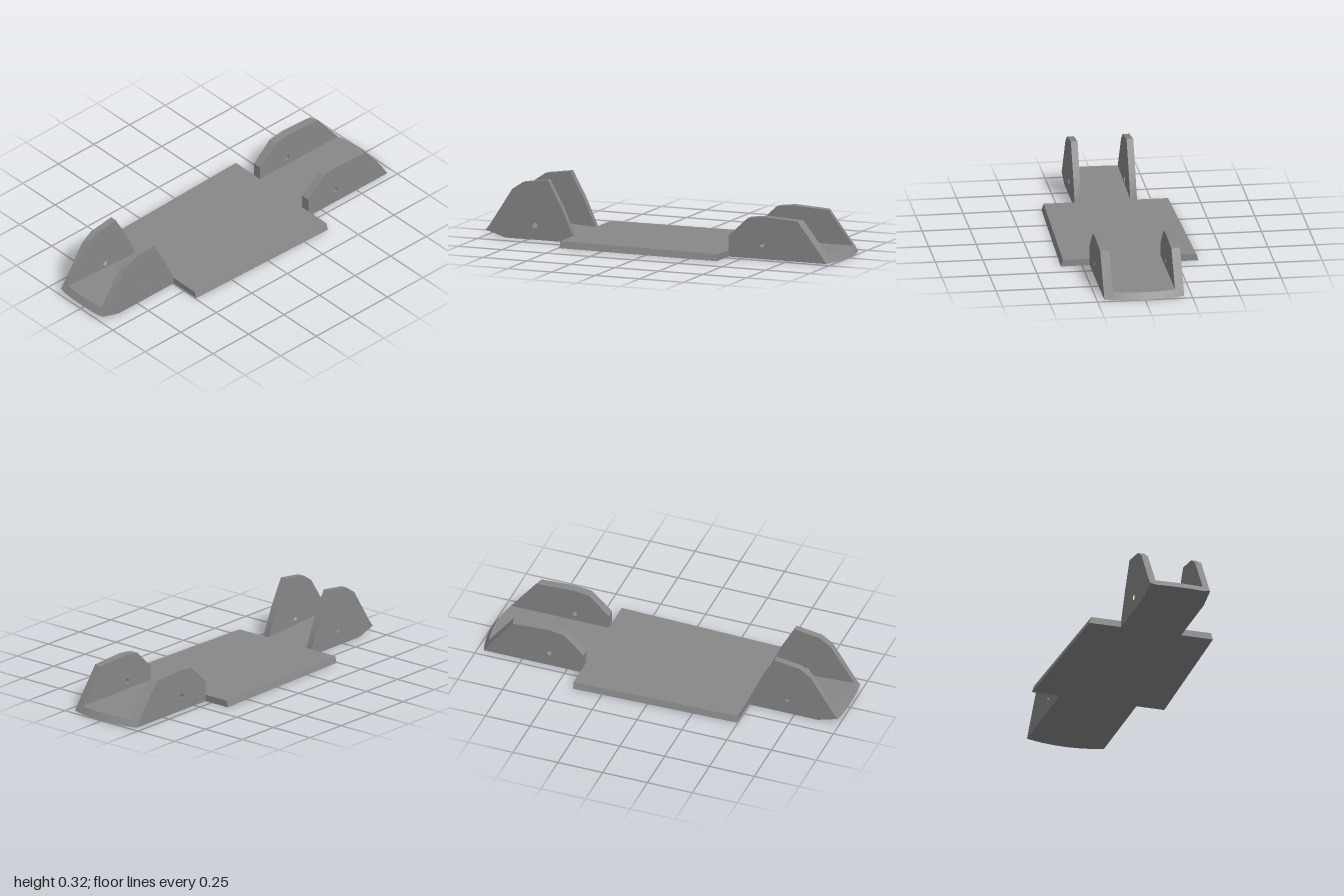
import * as THREE from 'three';
import { toCreasedNormals } from 'three/addons/utils/BufferGeometryUtils.js';

const FRONT = 0.495, BACK = -0.41, THICK = 0.035, CREASE = 0.5;
const material = new THREE.MeshStandardMaterial({ color: 0x888888 });

// Bow the nose and tail ends: the middle reaches further out than the sides.
function bowEnds(geometry) {
  const p = geometry.attributes.position;
  for (let i = 0; i < p.count; i++) {
    const x = p.getX(i), z = p.getZ(i);
    if (z > 0.9) {
      p.setZ(i, z - 0.009 * (x / 0.164) ** 2);
      if (z > 0.99 && Math.abs(x) > 0.14) p.setY(i, p.getY(i) + 0.007);
    } else if (z < -0.82) {
      p.setZ(i, z + 0.035 * (x / 0.21) ** 2);
    }
  }
  return toCreasedNormals(geometry, CREASE);
}

// Extrude a side profile of [z, y] points from x0 to x1, with an optional round hole.
function sideExtrude(name, profile, x0, x1, steps, hole) {
  const shape = new THREE.Shape(profile.map(([z, y]) => new THREE.Vector2(-z, y)));
  if (hole) {
    const path = new THREE.Path();
    path.absarc(-hole[0], hole[1], 0.014, 0, Math.PI * 2, true);
    shape.holes.push(path);
  }
  const geometry = new THREE.ExtrudeGeometry(shape, {
    depth: x1 - x0, steps, bevelEnabled: false, curveSegments: 12,
  });
  geometry.rotateY(Math.PI / 2).translate(x0, 0, 0);
  const mesh = new THREE.Mesh(bowEnds(geometry), material);
  mesh.name = name;
  return mesh;
}

// Wide middle plate: tapers towards the front, sides lean inwards
function basePlate() {
  const geometry = new THREE.BoxGeometry(2, THICK, FRONT - BACK);
  geometry.translate(0, THICK / 2, (FRONT + BACK) / 2);
  const p = geometry.attributes.position;
  for (let i = 0; i < p.count; i++) {
    const half = (p.getZ(i) > 0 ? 0.338 : 0.362) - (p.getY(i) > 0.01 ? 0.011 : 0);
    p.setX(i, Math.sign(p.getX(i)) * half);
  }
  const mesh = new THREE.Mesh(toCreasedNormals(geometry, CREASE), material);
  mesh.name = 'basePlate';
  return mesh;
}

export function createModel() {
  const model = new THREE.Group();
  model.name = 'mountingCradle';
  model.add(basePlate());

  // Narrow floors running out to the nose and tail
  model.add(sideExtrude('frontFloor', [
    [FRONT, 0], [0.88, 0], [1, 0.027], [0.977, 0.062], [FRONT, THICK],
  ], -0.129, 0.129, 8));
  model.add(sideExtrude('rearFloor', [
    [BACK, 0], [-1, 0], [-0.977, THICK], [BACK, THICK],
  ], -0.163, 0.163, 8));

  // Upright side lugs with pin holes
  const frontLug = [
    [FRONT, 0], [0.88, 0], [1, 0.027], [0.977, 0.062], [0.84, 0.26],
    [0.78, 0.3], [0.637, 0.321], [0.56, 0.18], [FRONT, THICK],
  ];
  const rearLug = [
    [BACK, 0], [-1, 0], [-0.977, THICK], [-0.838, 0.213], [-0.61, 0.223], [-0.52, 0.212], [BACK, 0.11],
  ];
  for (const [side, s] of [['left', 1], ['right', -1]]) {
    const add = (name, profile, inner, outer, hole) => model.add(sideExtrude(
      side + name, profile, Math.min(s * inner, s * outer), Math.max(s * inner, s * outer), 1, hole));
    add('FrontLug', frontLug, 0.129, 0.164, [0.71, 0.075]);
    add('RearLug', rearLug, 0.163, 0.21, [-0.6, 0.075]);
  }
  return model;
}
